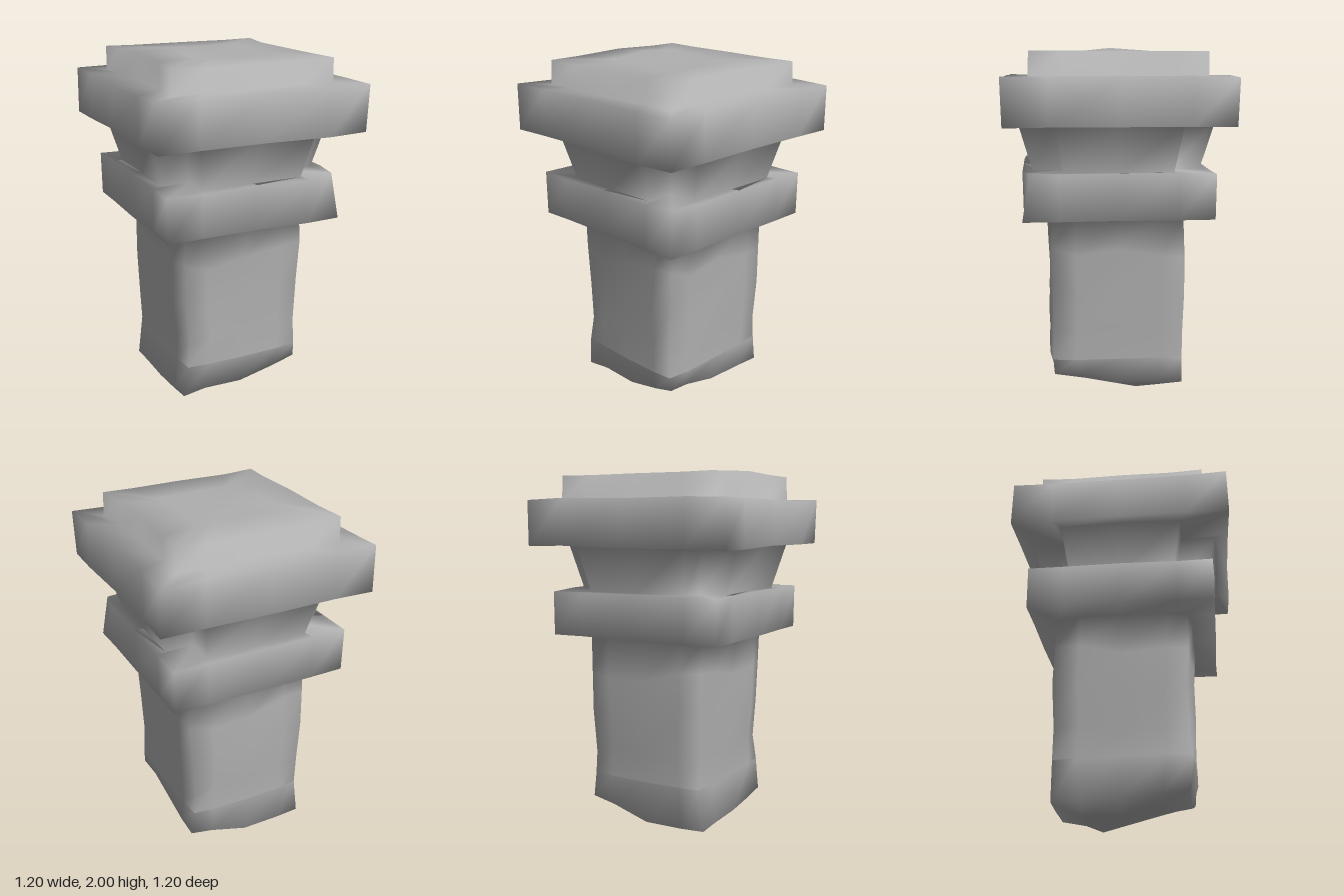
import * as THREE from 'three';
import { mergeVertices } from 'three/addons/utils/BufferGeometryUtils.js';

const stone = new THREE.MeshStandardMaterial({ color: 0xafafaf });

// Repeatable noise in -1..1 taken from a position
function noise(x, y, z) {
  const s = Math.sin(x * 127.1 + y * 311.7 + z * 74.7) * 43758.5453;
  return (s - Math.floor(s)) * 2 - 1;
}

// Unit square outline of 16 points, running round from the front left corner
const STEP = 0.62;
const outline = [];
for (const t of [-1, -STEP, 0, STEP]) outline.push([t, 1]);
for (const t of [-1, -STEP, 0, STEP]) outline.push([1, -t]);
for (const t of [-1, -STEP, 0, STEP]) outline.push([-t, -1]);
for (const t of [-1, -STEP, 0, STEP]) outline.push([-1, t]);

// A ring is the outline passed through a rule giving [x, y, z]
const ring = (rule) => outline.map(([u, v]) => rule(u, v));
const isCorner = (u, v) => Math.abs(u * v) === 1;

// Skin rings from bottom to top as one smooth surface
function loft(name, rings) {
  const n = outline.length;
  const index = [];
  for (let r = 0; r < rings.length - 1; r++) {
    for (let i = 0; i < n; i++) {
      const a = r * n + i;
      const b = r * n + ((i + 1) % n);
      index.push(a, b, b + n, a, b + n, a + n);
    }
  }
  let g = new THREE.BufferGeometry();
  g.setAttribute('position', new THREE.Float32BufferAttribute(rings.flat(2), 3));
  g.setIndex(index);
  g = mergeVertices(g);
  g.computeVertexNormals();
  const mesh = new THREE.Mesh(g, stone);
  mesh.name = name;
  return mesh;
}

// Worn square ring of a slab
const slabRing = (half, y, wear) => ring((u, v) => [
  u * (half - wear * (0.5 + 0.5 * noise(u, y, v))),
  y + 0.006 * noise(v, u, y),
  v * (half - wear * (0.5 + 0.5 * noise(v, y, u))),
]);

// Shaft ring with its own reach to each side and rounded corners
function shaftRing(y, left, right, front, back, wobble) {
  return ring((u, v) => {
    const c = isCorner(u, v) ? 0.955 + 0.025 * noise(u, y, v) : 1;
    return [
      u * c * (u > 0 ? right : left) + 0.008 * noise(u, v, y),
      y + wobble * noise(v, y, u),
      v * c * (v > 0 ? front : back) + 0.008 * noise(y, u, v),
    ];
  });
}

// Cross-shaped ring: four arms with notched corners
function crossRing(y, reach, arm) {
  return ring((u, v) => {
    if (isCorner(u, v)) return [u * arm, y, v * arm];
    const dent = u * v === 0 ? 0.02 * noise(u, y, v) : 0;
    const place = (s) => (Math.abs(s) === 1 ? s * (reach + dent) : (s / STEP) * arm);
    return [place(u), y, place(v)];
  });
}

// Cap ring with pinched sides
const capRing = (half, y, lift) => ring((u, v) => [
  u * half * (1 - 0.06 * (1 - v * v)),
  y + lift * Math.max(0, -u) * (1 - 0.8 * Math.abs(v)) + 0.004 * noise(u, y, v),
  v * half,
]);

export function createModel() {
  const model = new THREE.Group();

  // Lower slab, chipped at one front corner
  const lowerTop = slabRing(0.507, 1.345, 0.01);
  lowerTop[4][0] -= 0.025;
  lowerTop[4][2] -= 0.035;

  // Shaft, lower slab, cross-shaped neck, upper slab and cap in one piece
  model.add(loft('pillar', [
    shaftRing(0.3, 0.35, 0.35, 0.367, 0.38, 0),
    shaftRing(0.45, 0.345, 0.35, 0.365, 0.38, 0.03),
    shaftRing(0.68, 0.36, 0.355, 0.36, 0.39, 0.05),
    shaftRing(0.9, 0.362, 0.365, 0.365, 0.38, 0.04),
    shaftRing(1.1, 0.372, 0.37, 0.37, 0.372, 0),
    slabRing(0.507, 1.1, 0.01),
    lowerTop,
    crossRing(1.345, 0.45, 0.29),
    crossRing(1.59, 0.52, 0.33),
    slabRing(0.6, 1.59, 0.012),
    slabRing(0.6, 1.84, 0.012),
    capRing(0.463, 1.84, 0),
    capRing(0.46, 1.965, 0.02),
    capRing(0.24, 1.97, 0.028),
    ring(() => [0, 1.975, 0]),
  ]));

  // Broken base: cut under at the front and right, jagged below
  model.add(loft('brokenBase', [
    ring(() => [0, 0, -0.14]),
    ring((u, v) => [
      u * 0.2,
      0.05 + 0.05 * Math.max(0, u) + 0.04 * Math.max(0, v) + 0.015 * noise(u, v, 1),
      v * 0.2 - 0.03,
    ]),
    ring((u, v) => {
      const inset = isCorner(u, v) ? 0.97 : 0.93;
      return [
        u * (u > 0 ? 0.352 * (v > -0.5 ? inset : 1) : 0.36),
        0.07 + 0.09 * Math.max(0, u) + 0.05 * Math.max(0, v) + 0.012 * noise(u, v, 2),
        v * (v > 0 ? 0.355 * inset : 0.36),
      ];
    }),
    shaftRing(0.3, 0.35, 0.35, 0.367, 0.38, 0),
  ]));

  return model;
}
